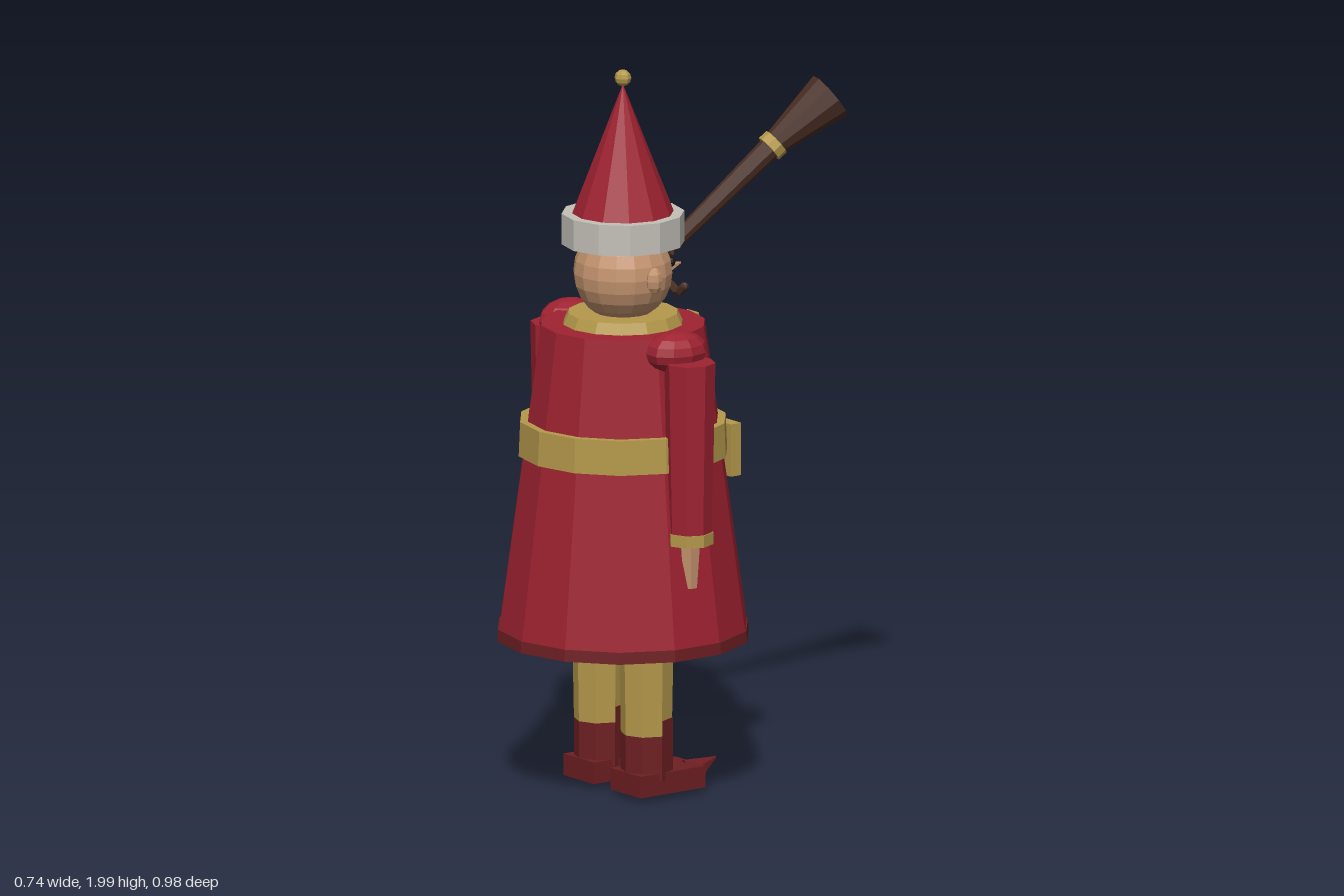
import * as THREE from 'three';

const mat = (name, color) => {
  const m = new THREE.MeshStandardMaterial({ color, flatShading: true });
  m.name = name;
  return m;
};

export function createModel() {
  const red = mat('coatRed', 0x9e2231);
  const darkRed = mat('bootRed', 0x6e1f22);
  const gold = mat('gold', 0xb4984a);
  const skin = mat('skin', 0xc4946f);
  const white = mat('furWhite', 0xc4c0b8);
  const brown = mat('darkBrown', 0x4a2e24);
  const black = mat('eyeBlack', 0x181414);

  const model = new THREE.Group();
  const CZ = 0.145; // depth of the body axis
  const robeRadius = (y) => 0.225 + (1.3 - y) * 0.138;
  const SLOPE = Math.atan(0.138);

  const add = (name, geo, material, x = 0, y = 0, z = CZ) => {
    const mesh = new THREE.Mesh(geo, material);
    mesh.name = name;
    mesh.position.set(x, y, z);
    model.add(mesh);
    return mesh;
  };
  // upright tapered cylinder between two heights
  const column = (name, material, rTop, rBot, y0, y1, sides, x = 0) =>
    add(name, new THREE.CylinderGeometry(rTop, rBot, y1 - y0, sides), material, x, (y0 + y1) / 2);
  // tapered cylinder from point a to point b
  const rod = (name, material, a, b, ra, rb, sides) => {
    const A = new THREE.Vector3(...a), B = new THREE.Vector3(...b);
    const dir = B.clone().sub(A);
    const mid = A.clone().add(B).multiplyScalar(0.5);
    const mesh = add(name, new THREE.CylinderGeometry(rb, ra, dir.length(), sides), material, mid.x, mid.y, mid.z);
    mesh.quaternion.setFromUnitVectors(new THREE.Vector3(0, 1, 0), dir.normalize());
    return mesh;
  };
  const ball = (name, material, r, x, y, z, w = 8, h = 6) =>
    add(name, new THREE.SphereGeometry(r, w, h), material, x, y, z);

  // Coat, hem, belt and collar
  column('coat', red, 0.225, robeRadius(0.46), 0.46, 1.3, 14);
  column('hem', darkRed, 0.344, 0.346, 0.43, 0.462, 14);
  column('belt', gold, 0.283, 0.287, 0.94, 1.035, 14);
  column('collar', gold, 0.15, 0.165, 1.298, 1.33, 14);

  // Trim down the front of the coat
  const trim = (name, y0, y1, width) => {
    const y = (y0 + y1) / 2;
    const strip = add(name, new THREE.BoxGeometry(width, (y1 - y0) / Math.cos(SLOPE), 0.026),
      gold, 0, y, CZ - robeRadius(y));
    strip.rotation.x = SLOPE;
  };
  trim('upperTrim', 1.03, 1.295, 0.05);
  trim('lowerTrim', 0.435, 1.0, 0.05);
  for (let i = 0; i < 5; i++) {
    const y = 1.06 + i * 0.05;
    ball('button', gold, 0.012, 0, y, CZ - robeRadius(y) - 0.015);
  }
  add('beltPouch', new THREE.BoxGeometry(0.08, 0.145, 0.035), gold, 0.1, 0.932, -0.132);

  // Arms and legs
  for (const s of [1, -1]) {
    ball('shoulder', red, 1, s * 0.24, 1.263, CZ, 10, 8).scale.set(0.073, 0.058, 0.09);
    column('sleeve', red, 0.07, 0.06, 0.77, 1.245, 8, s * 0.3);
    column('cuff', gold, 0.064, 0.064, 0.742, 0.775, 8, s * 0.3);
    column('hand', skin, 0.03, 0.021, 0.62, 0.745, 6, s * 0.3);

    const x = s * 0.105;
    column('trouserLeg', gold, 0.075, 0.069, 0.15, 0.47, 8, x);
    column('bootShaft', darkRed, 0.07, 0.07, 0.06, 0.182, 8, x);
    add('bootFront', new THREE.CylinderGeometry(0.073, 0.073, 0.165, 4, 1, false, Math.PI / 2, Math.PI),
      darkRed, x, 0.1425);
    add('shoe', new THREE.BoxGeometry(0.135, 0.06, 0.22), darkRed, x, 0.05, 0.105);
    rod('shoeToe', darkRed, [x, 0.046, 0.005], [x, 0.08, -0.09], 0.043, 0.002, 6);
  }

  // Head and face
  ball('head', skin, 0.135, 0, 1.44, CZ, 16, 12);
  rod('nose', skin, [0, 1.425, 0.02], [0, 1.437, -0.05], 0.024, 0.003, 6);
  for (const s of [1, -1]) {
    ball('ear', skin, 1, s * 0.142, 1.44, CZ, 8, 6).scale.set(0.019, 0.037, 0.024);
    ball('eye', black, 0.014, s * 0.045, 1.457, 0.018);
    rod('eyebrow', brown, [s * 0.02, 1.483, 0.012], [s * 0.085, 1.492, 0.042], 0.01, 0.006, 6);
    const curl = new THREE.CatmullRomCurve3([
      [0, 1.4, 0.008], [s * 0.035, 1.385, 0.004], [s * 0.065, 1.375, 0.008], [s * 0.09, 1.395, 0.005],
    ].map((p) => new THREE.Vector3(...p)));
    add('moustache', new THREE.TubeGeometry(curl, 8, 0.012, 6), brown, 0, 0, 0);
    ball('moustacheTip', brown, 0.012, s * 0.09, 1.395, 0.005);
  }

  // Pointed hat
  column('hatBand', white, 0.167, 0.167, 1.52, 1.605, 12);
  add('hatCone', new THREE.ConeGeometry(0.14, 0.36, 12), red, 0, 1.78);
  ball('hatBall', gold, 0.023, 0, 1.977, CZ);

  // Long flared horn
  const ring = [0.096, 1.747, -0.29];
  rod('hornShaft', brown, [0.018, 1.48, 0.015], ring, 0.02, 0.032, 10);
  rod('hornRing', gold, [0.093, 1.737, -0.279], [0.099, 1.755, -0.3], 0.04, 0.04, 10);
  rod('hornBell', brown, ring, [0.14, 1.869, -0.45], 0.033, 0.07, 10);

  return model;
}
